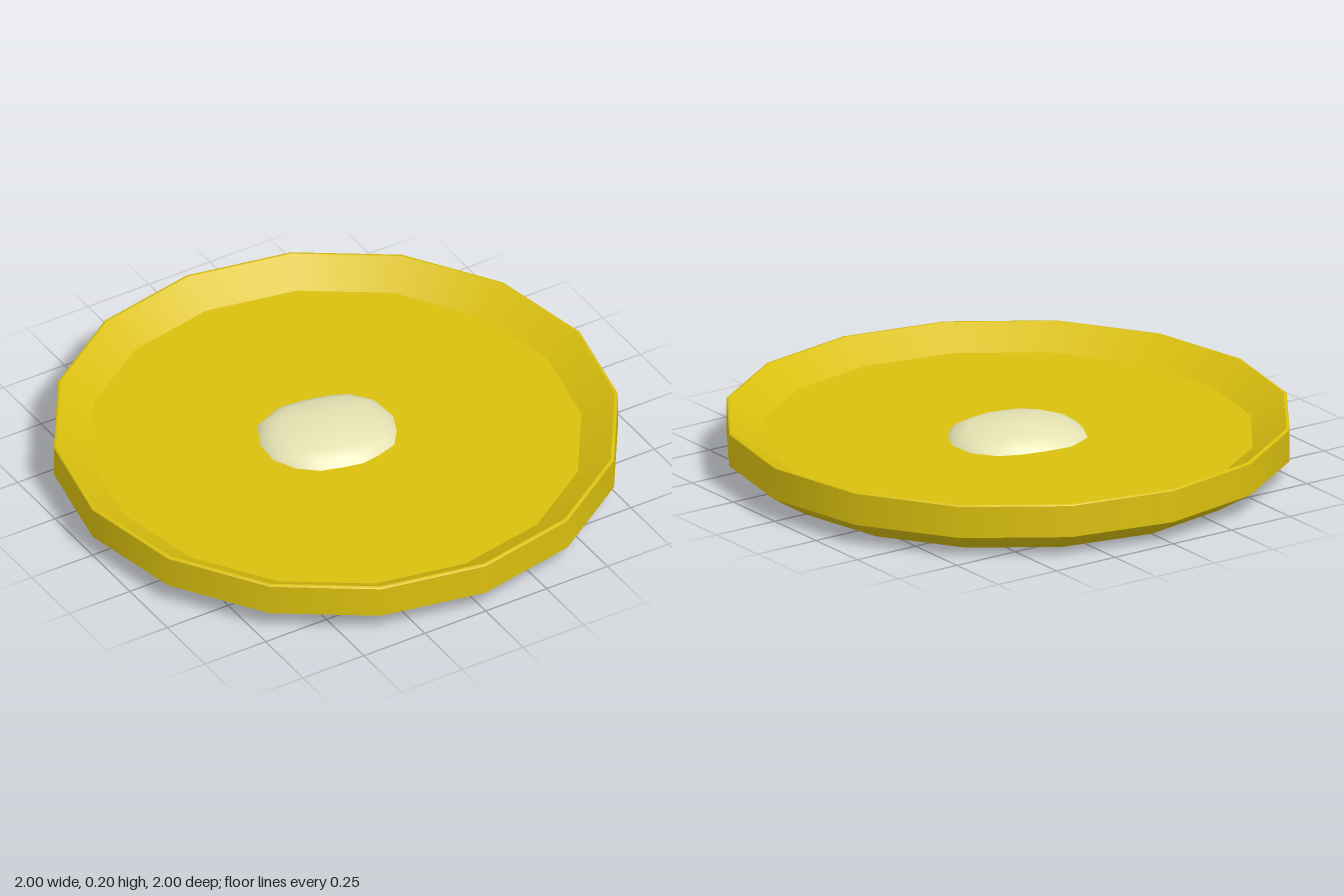
import * as THREE from 'three';
import { mergeVertices } from 'three/addons/utils/BufferGeometryUtils.js';

const SIDES = 16;
const FLOOR = 0.125;

export function createModel() {
  const model = new THREE.Group();
  model.name = 'dishWithPat';

  const yellow = new THREE.MeshStandardMaterial({ color: 0xd9bf0e });
  const cream = new THREE.MeshStandardMaterial({ color: 0xe4e2b2 });

  // Dish: separate lathed bands keep the edges between them sharp
  const dish = new THREE.Group();
  dish.name = 'dish';
  const bands = {
    underside: [[0, 0], [0.87, 0], [1, 0.08]],
    outerWall: [[1, 0.08], [1, 0.195]],
    rim: [[1, 0.195], [0.996, 0.2], [0.988, 0.2]],
    innerWall: [[0.988, 0.2], [0.87, FLOOR]],
    floor: [[0.87, FLOOR], [0, FLOOR]],
  };
  for (const [name, profile] of Object.entries(bands)) {
    const points = profile.map(([r, y]) => new THREE.Vector2(r, y));
    const mesh = new THREE.Mesh(new THREE.LatheGeometry(points, SIDES), yellow);
    mesh.name = name;
    dish.add(mesh);
  }
  model.add(dish);

  // Pat: a low dome lathed, then pulled out to an irregular outline (x, z)
  const outline = [
    [0, 0.18], [0.07, 0.17], [0.15, 0.145], [0.2, 0.08],
    [0.235, 0], [0.23, -0.1], [0.17, -0.18], [0.09, -0.215],
    [0, -0.235], [-0.1, -0.245], [-0.2, -0.2], [-0.25, -0.1],
    [-0.258, 0], [-0.215, 0.085], [-0.15, 0.14], [-0.07, 0.165],
  ];
  const dome = [[1, 0], [0.9, 0.025], [0.72, 0.043], [0.4, 0.058], [0, 0.063]];
  let geometry = new THREE.LatheGeometry(
    dome.map(([t, y]) => new THREE.Vector2(t, FLOOR + y)), SIDES);
  const pos = geometry.attributes.position;
  const cx = -0.01, cz = -0.035;
  for (let i = 0; i < pos.count; i++) {
    const [x, z] = outline[Math.floor(i / dome.length) % SIDES];
    const t = dome[i % dome.length][0];
    pos.setX(i, cx + (x - cx) * t);
    pos.setZ(i, cz + (z - cz) * t);
  }
  geometry.deleteAttribute('uv');
  geometry.deleteAttribute('normal');
  geometry = mergeVertices(geometry);
  geometry.computeVertexNormals();
  const pat = new THREE.Mesh(geometry, cream);
  pat.name = 'pat';
  model.add(pat);

  return model;
}
